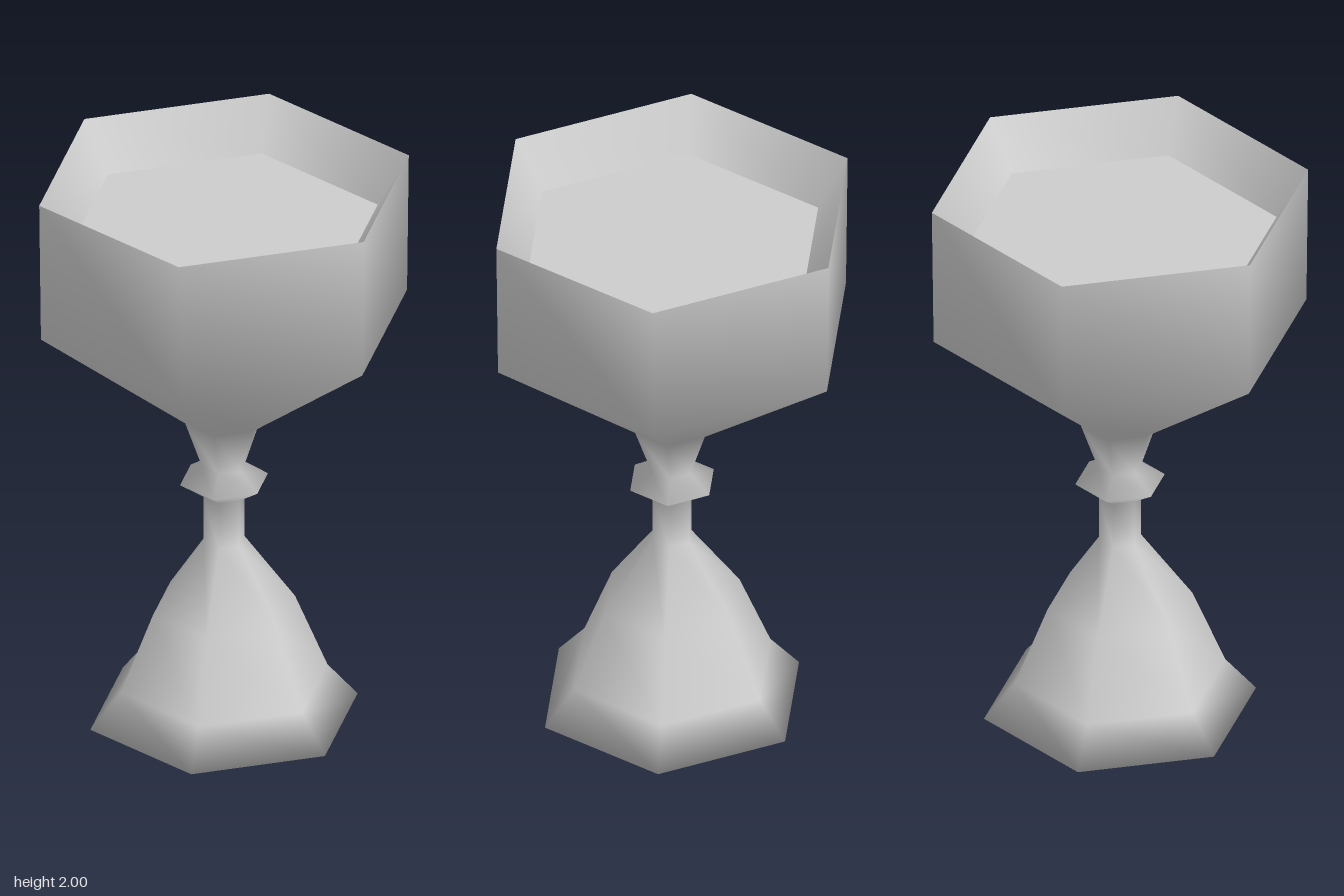
import * as THREE from 'three';

const SIDES = 6;

// Six-sided smooth turning from [radius, height] pairs, with a corner facing +z
function turned(name, profile, material) {
  const points = profile.map(([r, y]) => new THREE.Vector2(r, y));
  const mesh = new THREE.Mesh(new THREE.LatheGeometry(points, SIDES), material);
  mesh.name = name;
  return mesh;
}

export function createModel() {
  const group = new THREE.Group();
  group.name = 'goblet';
  const metal = new THREE.MeshStandardMaterial({ color: 0xcccccc });
  metal.name = 'light grey';

  // Closed underside, flared foot, knobbed stem and bowl in one smooth skin
  group.add(turned('gobletBody', [
    [0, 0], [0.465, 0], [0.36, 0.125], [0.247, 0.4], // foot
    [0.072, 0.65], [0.072, 0.82], // stem
    [0.153, 0.875], [0.075, 0.93], // knob
    [0.135, 1.105], [0.637, 1.495], [0.643, 2], // bowl
  ], metal));

  // Sloping wall inside the sharp rim
  const rimRadius = 0.643, fillRadius = 0.535, fillHeight = 1.83;
  group.add(turned('innerWall', [[rimRadius, 2], [fillRadius, fillHeight]], metal));

  // Flat surface filling the bowl
  const fill = new THREE.Mesh(new THREE.CircleGeometry(fillRadius, SIDES, Math.PI / 2), metal);
  fill.rotation.x = -Math.PI / 2;
  fill.position.y = fillHeight;
  fill.name = 'bowlFill';
  group.add(fill);

  return group;
}
